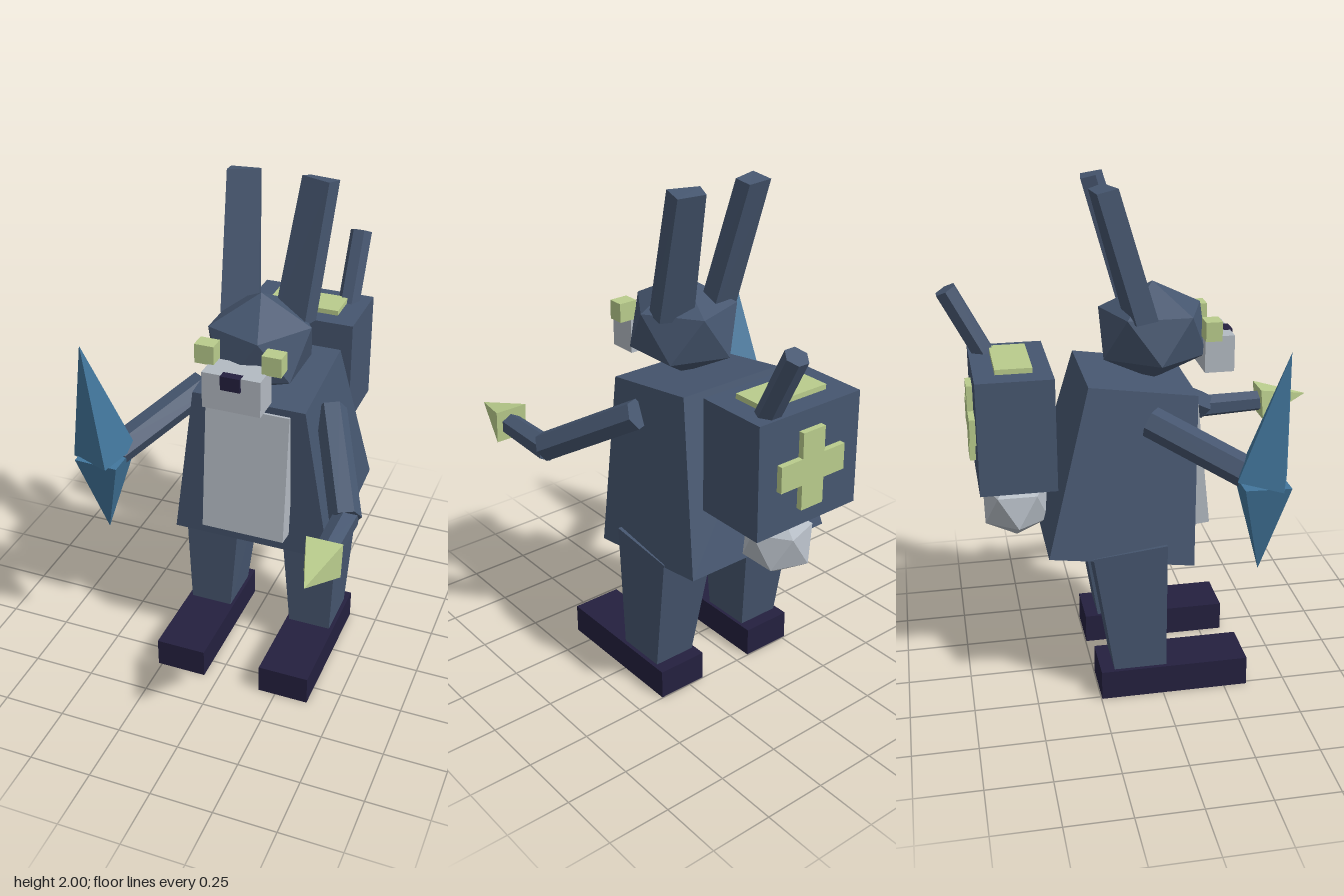
import * as THREE from 'three';

const CX = 0.06; // the body's middle line

export function createModel() {
  const root = new THREE.Group();
  root.name = 'armedRabbit';

  const material = (name, color) => {
    const m = new THREE.MeshStandardMaterial({ color });
    m.name = name;
    m.flatShading = true;
    return m;
  };
  const slate = material('slate fur', 0x46566f);
  const navy = material('dark navy', 0x24203f);
  const grey = material('pale grey', 0xb3bac2);
  const green = material('pale green', 0xb9cc8c);
  const blue = material('steel blue', 0x42769c);

  const add = (name, geometry, mat) => {
    const mesh = new THREE.Mesh(geometry, mat);
    mesh.name = name;
    root.add(mesh);
    return mesh;
  };

  // Box given by its lowest and highest corner
  const box = (name, mat, [x0, y0, z0], [x1, y1, z1]) => {
    const g = new THREE.BoxGeometry(x1 - x0, y1 - y0, z1 - z0);
    g.translate((x0 + x1) / 2, (y0 + y1) / 2, (z0 + z1) / 2);
    return add(name, g, mat);
  };

  // Six-sided block; corners run front -x, front +x, back +x, back -x, bottom then top
  const block = (name, mat, corners) => {
    const faces = [[3, 2, 1, 0], [4, 5, 6, 7]];
    for (let i = 0; i < 4; i++) {
      const j = (i + 1) % 4;
      faces.push([i, j, j + 4, i + 4]);
    }
    const pos = [];
    for (const [a, b, c, d] of faces) {
      for (const k of [a, b, c, a, c, d]) pos.push(...corners[k]);
    }
    const g = new THREE.BufferGeometry();
    g.setAttribute('position', new THREE.Float32BufferAttribute(pos, 3));
    g.computeVertexNormals();
    return add(name, g, mat);
  };
  const mirror = (c) => [1, 0, 3, 2, 5, 4, 7, 6].map((k) => [2 * CX - c[k][0], c[k][1], c[k][2]]);

  // Straight prism or cone between two points
  const rod = (name, mat, from, to, r0, r1, sides, twist = 0) => {
    const a = new THREE.Vector3(...from);
    const dir = new THREE.Vector3(...to).sub(a);
    const len = dir.length();
    const g = new THREE.CylinderGeometry(r1, r0, len, sides);
    g.translate(0, len / 2, 0).rotateY(twist);
    const mesh = add(name, g, mat);
    mesh.position.copy(a);
    mesh.quaternion.setFromUnitVectors(new THREE.Vector3(0, 1, 0), dir.normalize());
    return mesh;
  };

  // Icosahedron standing on a corner
  const ico = (name, mat, [x, y, z], [sx, sy, sz]) => {
    const g = new THREE.IcosahedronGeometry(1, 0);
    g.rotateZ(-0.5536).scale(sx, sy, sz).translate(x, y, z);
    g.computeVertexNormals();
    return add(name, g, mat);
  };

  // Leaning body, wider at the bottom
  block('body', slate, [
    [-0.265, 0.56, 0.12], [0.385, 0.56, 0.12], [0.385, 0.64, -0.44], [-0.265, 0.64, -0.44],
    [-0.165, 1.22, 0.15], [0.285, 1.22, 0.15], [0.285, 1.28, -0.265], [-0.165, 1.28, -0.265],
  ]);
  const belly = new THREE.BoxGeometry(0.335, 0.53, 0.07);
  belly.rotateX(-0.1).translate(CX, 0.925, 0.153);
  add('bellyPlate', belly, grey);

  // Legs and feet
  const leg = [
    [0.195, 0.1, 0.015], [0.368, 0.1, 0.015], [0.368, 0.1, -0.19], [0.195, 0.1, -0.19],
    [0.147, 0.655, 0.015], [0.388, 0.655, 0.015], [0.388, 0.625, -0.272], [0.147, 0.625, -0.272],
  ];
  const foot = [0, 0.12].flatMap((y) => [[0.18, y, 0.342], [0.385, y, 0.342], [0.385, y, -0.247], [0.18, y, -0.247]]);
  block('leftLeg', slate, leg);
  block('rightLeg', slate, mirror(leg));
  block('leftFoot', navy, foot);
  block('rightFoot', navy, mirror(foot));

  // Head and face
  ico('head', slate, [CX, 1.417, 0.018], [0.22, 0.195, 0.235]);
  box('muzzle', grey, [-0.055, 1.27, 0.2], [0.17, 1.413, 0.315]);
  box('nose', navy, [0.02, 1.36, 0.29], [0.096, 1.415, 0.325]);
  box('rightEye', green, [-0.108, 1.41, 0.19], [-0.033, 1.485, 0.253]);
  box('leftEye', green, [0.15, 1.41, 0.19], [0.225, 1.485, 0.253]);

  // Ears, swept back and turned a little outwards
  const ear = [
    [-0.105, 1.5, 0.01], [0.03, 1.5, -0.04], [0.015, 1.48, -0.1], [-0.122, 1.49, -0.075],
    [-0.135, 2.0, -0.14], [-0.02, 2.0, -0.18], [-0.037, 1.985, -0.235], [-0.15, 1.985, -0.22],
  ];
  block('rightEar', slate, ear);
  block('leftEar', slate, mirror(ear));

  // Left arm, bent, with a spike for a hand
  rod('leftUpperArm', slate, [0.325, 1.145, -0.04], [0.505, 0.925, 0.325], 0.06, 0.06, 6);
  rod('leftForearm', slate, [0.503, 0.92, 0.3], [0.505, 0.928, 0.58], 0.05, 0.045, 6);
  rod('handSpike', green, [0.503, 0.93, 0.575], [0.505, 0.948, 0.787], 0.095, 0, 4, Math.PI / 4);

  // Right arm, straight, holding a two-ended blade
  rod('rightArm', slate, [-0.2, 1.145, -0.04], [-0.42, 0.99, 0.3], 0.06, 0.06, 6);
  rod('bladeTop', blue, [-0.457, 0.995, 0.325], [-0.49, 1.48, 0.405], 0.12, 0, 4, 0.44);
  rod('bladeBottom', blue, [-0.465, 0.635, 0.315], [-0.457, 0.985, 0.325], 0, 0.122, 4, Math.PI / 4);

  // Backpack with top panel, cross and aerial
  box('backpack', slate, [-0.175, 0.88, -0.68], [0.295, 1.325, -0.388]);
  box('backpackTopPanel', green, [-0.087, 1.32, -0.6], [0.21, 1.345, -0.46]);
  box('crossUpright', green, [0.01, 0.953, -0.703], [0.112, 1.253, -0.675]);
  box('crossLeftArm', green, [0.112, 1.052, -0.703], [0.21, 1.154, -0.675]);
  box('crossRightArm', green, [-0.088, 1.052, -0.703], [0.01, 1.154, -0.675]);
  rod('aerial', slate, [0.208, 1.28, -0.6], [0.208, 1.577, -0.753], 0.045, 0.045, 6, Math.PI / 6);

  // Tail
  ico('tail', grey, [CX, 0.74, -0.532], [0.14, 0.14, 0.146]);

  return root;
}
